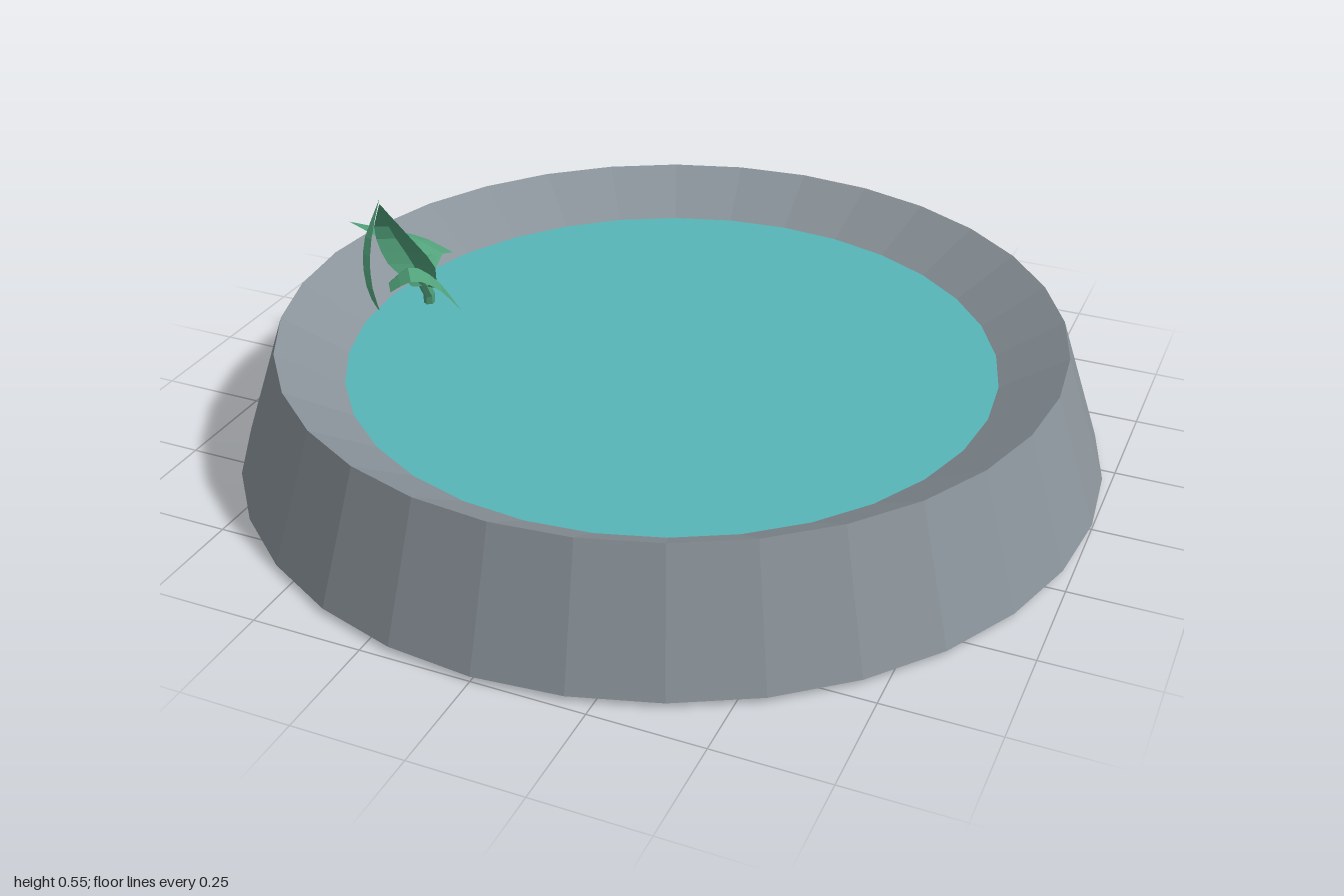
import * as THREE from 'three';

const V = (a) => new THREE.Vector3(...a);

// Folded ribbon leaf: follows a path, half widths along it, a side direction and a rib offset
function leafGeometry(path, widths, side, fold, steps = 7) {
  const curve = new THREE.CatmullRomCurve3(path.map(V));
  const across = V(side).normalize();
  const rib = V(fold);
  const pos = [], index = [];
  for (let i = 0; i <= steps; i++) {
    const t = i / steps;
    const f = t * (widths.length - 1);
    const k = Math.min(Math.floor(f), widths.length - 2);
    const w = THREE.MathUtils.lerp(widths[k], widths[k + 1], f - k);
    const p = curve.getPoint(t);
    for (const s of [-1, 0, 1]) {
      const q = p.clone().addScaledVector(across, s * w);
      if (s === 0) q.addScaledVector(rib, w);
      pos.push(q.x, q.y, q.z);
    }
    if (i < steps) {
      for (const j of [0, 1]) {
        const a = i * 3 + j;
        index.push(a, a + 1, a + 4, a, a + 4, a + 3);
      }
    }
  }
  const g = new THREE.BufferGeometry();
  g.setAttribute('position', new THREE.Float32BufferAttribute(pos, 3));
  g.setIndex(index);
  g.computeVertexNormals();
  return g;
}

export function createModel() {
  const model = new THREE.Group();
  model.name = 'pool';

  const stone = new THREE.MeshStandardMaterial({ color: 0x8a939a, flatShading: true });
  stone.name = 'grey stone';
  const water = new THREE.MeshStandardMaterial({ color: 0x58b5b7 });
  water.name = 'turquoise water';
  const green = new THREE.MeshStandardMaterial({ color: 0x52a37c, flatShading: true, side: THREE.DoubleSide });
  green.name = 'leaf green';

  const add = (parent, name, geometry, material) => {
    const mesh = new THREE.Mesh(geometry, material);
    mesh.name = name;
    parent.add(mesh);
    return mesh;
  };

  // Basin: flat underside, sloping outer wall, inner slope running just under the water
  const profile = [[0, 0.01], [1, 0.01], [0.9, 0.31], [0.75, 0.22], [0.72, 0.2]];
  add(model, 'basin', new THREE.LatheGeometry(profile.map(([r, y]) => new THREE.Vector2(r, y)), 32), stone);

  // Water surface
  const surface = add(model, 'waterSurface', new THREE.CircleGeometry(0.75, 32), water);
  surface.rotation.x = -Math.PI / 2;
  surface.position.y = 0.22;

  // Water plant
  const plant = new THREE.Group();
  plant.name = 'waterPlant';
  model.add(plant);

  // Stem rooted through the floor
  const stemPath = new THREE.CatmullRomCurve3([[-0.67, 0, 0], [-0.655, 0.15, -0.01], [-0.645, 0.23, -0.01], [-0.65, 0.3, 0.02]].map(V));
  add(plant, 'stem', new THREE.TubeGeometry(stemPath, 5, 0.014, 6), green);

  const leaves = [
    // Low leaf reaching out over the rim
    ['rimLeaf', [[-0.65, 0.29, -0.09], [-0.72, 0.325, -0.085], [-0.81, 0.34, -0.085], [-0.91, 0.355, -0.085]],
      [0.06, 0.047, 0.027, 0], [0.1, 0, 1], [0, 0.4, 0]],
    // Thin blade rising from the water
    ['thinBlade', [[-0.73, 0.2, 0.08], [-0.79, 0.27, 0.03], [-0.81, 0.35, -0.01], [-0.795, 0.45, -0.05]],
      [0.012, 0.025, 0.028, 0], [0.7, 0.1, 0.7], [-0.3, 0, 0.3]],
    // Tall curved leaf
    ['tallLeaf', [[-0.635, 0.28, 0.03], [-0.65, 0.36, 0.065], [-0.675, 0.45, 0.1], [-0.66, 0.55, 0.16]],
      [0.03, 0.06, 0.038, 0], [0.85, -0.15, -0.5], [-0.2, -0.1, -0.4]],
    // Drooping leaf with its tip at the water
    ['droopingLeaf', [[-0.69, 0.3, 0.1], [-0.64, 0.335, 0.075], [-0.595, 0.3, 0.04], [-0.555, 0.22, 0]],
      [0.03, 0.05, 0.035, 0], [0.6, 0.1, 0.8], [0, 0.4, 0]],
    // Joining leaf between the stem and the low leaf
    ['innerLeaf', [[-0.65, 0.28, 0.02], [-0.66, 0.315, -0.02], [-0.67, 0.31, -0.08]],
      [0.02, 0.025, 0.012], [1, 0, 0.1], [0, 0.4, 0]],
  ];
  for (const [name, path, widths, side, fold] of leaves) {
    add(plant, name, leafGeometry(path, widths, side, fold), green);
  }

  return model;
}
